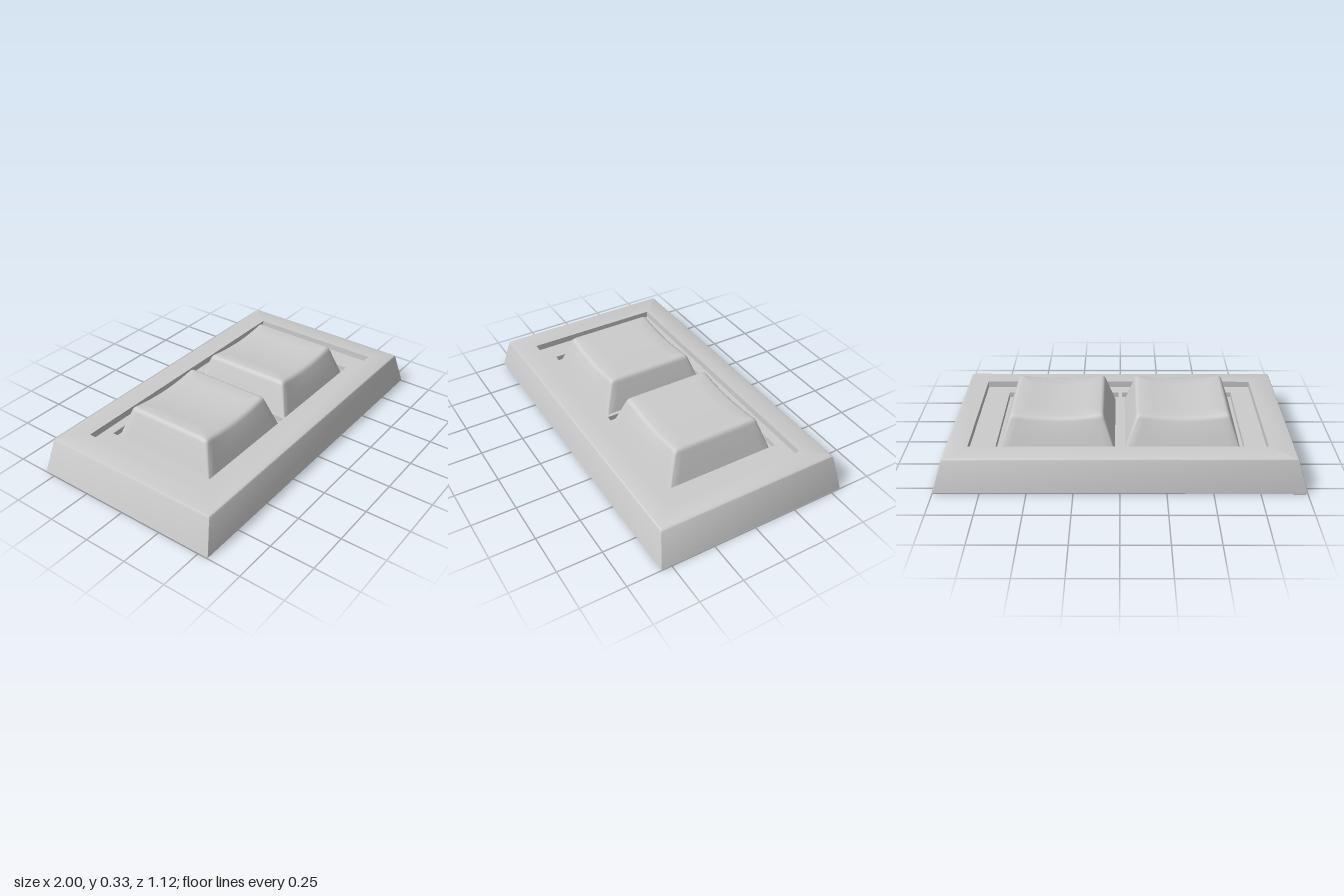
import * as THREE from 'three';
import { toCreasedNormals } from 'three/addons/utils/BufferGeometryUtils.js';

const material = new THREE.MeshStandardMaterial({ color: 0xcccccc });

// Points of a rounded rectangle, counter-clockwise seen from above
function ringPoints({ hx, hz, r = 0, cx = 0, cz = 0 }, arc, straight) {
  const pts = [];
  const signs = [[1, 1], [-1, 1], [-1, -1], [1, -1]];
  const corners = signs.map(([sx, sz], k) => {
    const c = [];
    for (let i = 0; i <= arc; i++) {
      const a = (k + (arc ? i / arc : 0)) * Math.PI / 2;
      c.push([cx + sx * (hx - r) + r * Math.cos(a), cz - sz * (hz - r) - r * Math.sin(a)]);
    }
    return c;
  });
  corners.forEach((c, k) => {
    pts.push(...c);
    const a = c[arc], b = corners[(k + 1) % 4][0];
    for (let i = 1; i < straight; i++) {
      const t = i / straight;
      pts.push([a[0] + (b[0] - a[0]) * t, a[1] + (b[1] - a[1]) * t]);
    }
  });
  return pts;
}

// Skin a stack of rings; height(x, z, ring) may bend a ring
function loft(rings, arc = 0, straight = 1, height = (x, z, ring) => ring.y) {
  const pos = [], index = [];
  let n = 0;
  for (const ring of rings) {
    const pts = ringPoints(ring, arc, straight);
    n = pts.length;
    for (const [x, z] of pts) pos.push(x, height(x, z, ring), z);
  }
  for (let j = 0; j < rings.length - 1; j++) {
    for (let i = 0; i < n; i++) {
      const a = j * n + i, b = j * n + (i + 1) % n;
      index.push(a, b, b + n, a, b + n, a + n);
    }
  }
  const g = new THREE.BufferGeometry();
  g.setAttribute('position', new THREE.Float32BufferAttribute(pos, 3));
  g.setIndex(index);
  return toCreasedNormals(g, 0.6);
}

function mesh(geometry, name) {
  const m = new THREE.Mesh(geometry, material);
  m.name = name;
  return m;
}

const KEY_X = 0.345, KEY_Z = -0.012, HOLE = 0.335;
const PANEL_Y = 0.165, WELL_Y = 0.135;

// Sloped base with a rectangular recess in its top
function makeBase() {
  const recess = { hx: 0.81, hz: 0.4, cx: 0.01 };
  return mesh(loft([
    { hx: 0, hz: 0, y: 0 },
    { hx: 0.994, hz: 0.555, r: 0.004, y: 0 },
    { hx: 1, hz: 0.56, r: 0.004, y: 0.006 },
    { hx: 0.942, hz: 0.53, r: 0.004, cz: -0.003, y: 0.188 },
    { hx: 0.937, hz: 0.526, r: 0.004, cz: -0.003, y: 0.198 },
    { hx: 0.925, hz: 0.518, r: 0.004, cz: -0.003, y: 0.203 },
    { ...recess, y: 0.203 },
    { ...recess, y: PANEL_Y },
  ], 2), 'base');
}

// Recess floor with two square openings
function makePanel() {
  const rect = (path, x0, x1, z0, z1) => path.moveTo(x0, -z0).lineTo(x1, -z0)
    .lineTo(x1, -z1).lineTo(x0, -z1).closePath();
  const shape = rect(new THREE.Shape(), -0.8, 0.82, -0.4, 0.4);
  for (const s of [-1, 1]) {
    shape.holes.push(rect(new THREE.Path(), s * KEY_X - HOLE, s * KEY_X + HOLE, KEY_Z - HOLE, KEY_Z + HOLE));
  }
  return mesh(new THREE.ShapeGeometry(shape).rotateX(-Math.PI / 2).translate(0, PANEL_Y, 0), 'panel');
}

// Shallow well the key sits in
function makeWell() {
  return mesh(loft([
    { hx: HOLE, hz: HOLE, y: PANEL_Y },
    { hx: HOLE, hz: HOLE, y: WELL_Y },
    { hx: 0, hz: 0, y: WELL_Y },
  ]), 'keyWell');
}

// Tapered keycap with rounded rim and a top dished from side to side
function makeKeycap() {
  const rings = [
    { h: 0.317, r: 0.012, y: WELL_Y, dish: 0 },
    { h: 0.295, r: 0.014, y: 0.2, dish: 0 },
    { h: 0.261, r: 0.018, y: 0.303, dish: 0.8 },
    { h: 0.256, r: 0.018, y: 0.315, dish: 1 },
    { h: 0.248, r: 0.018, y: 0.323, dish: 1 },
    { h: 0.235, r: 0.016, y: 0.327, dish: 1 },
    { h: 0.16, r: 0.01, y: 0.327, dish: 1 },
    { h: 0.08, r: 0.005, y: 0.327, dish: 1 },
    { h: 0, r: 0, y: 0.327, dish: 1 },
  ].map((k) => ({ ...k, hx: k.h, hz: k.h }));
  const dished = (x, z, k) => k.y - k.dish * 0.021 * Math.max(0, 1 - (x / 0.24) ** 2);
  return mesh(loft(rings, 4, 16, dished), 'keycap');
}

export function createModel() {
  const model = new THREE.Group();
  model.name = 'twoKeyPad';
  model.add(makeBase(), makePanel());
  for (const [s, name] of [[1, 'leftKey'], [-1, 'rightKey']]) {
    const key = new THREE.Group();
    key.name = name;
    key.add(makeWell(), makeKeycap());
    key.position.set(s * KEY_X, 0, KEY_Z);
    model.add(key);
  }
  return model;
}
